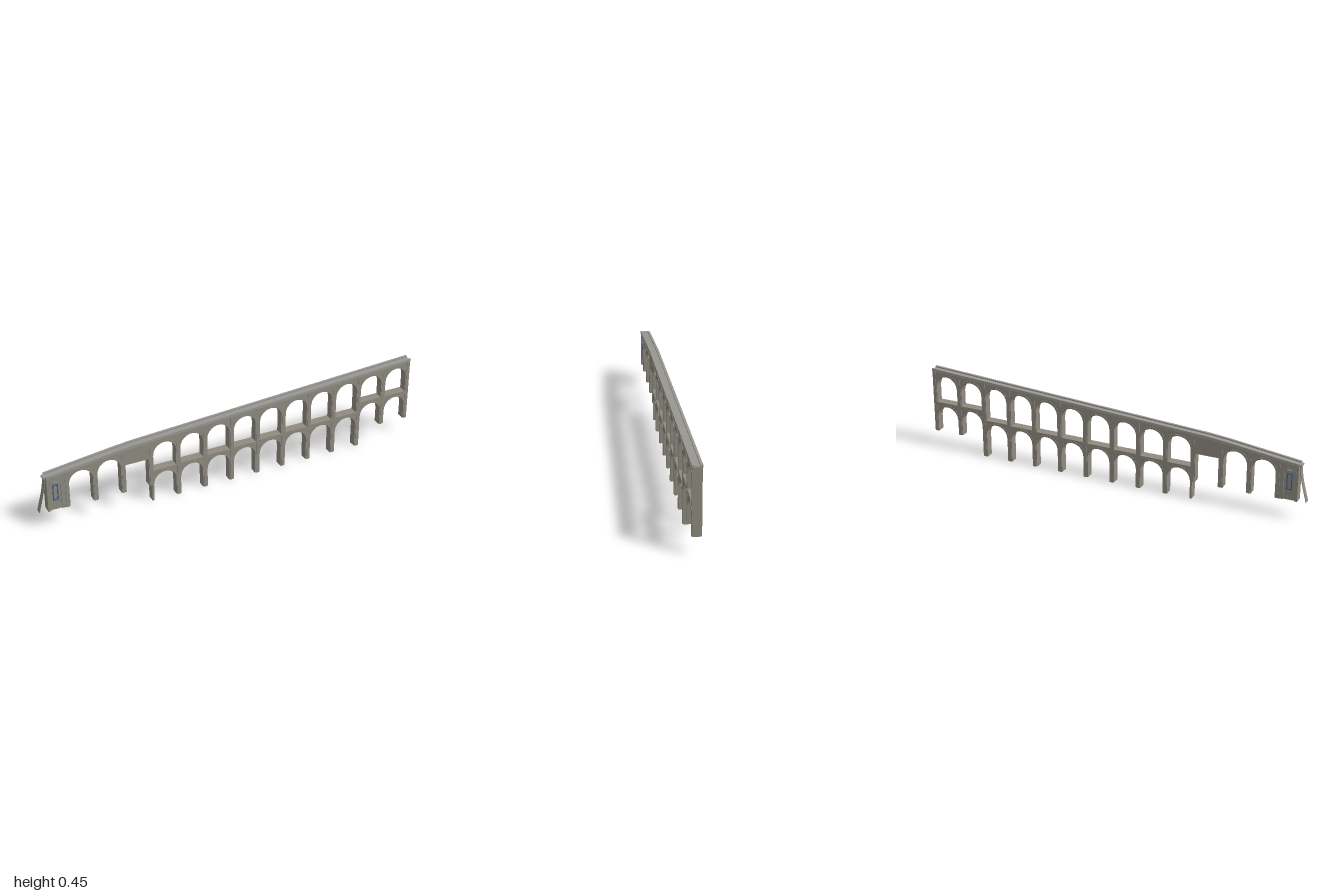
import * as THREE from 'three';

const stone = new THREE.MeshStandardMaterial({ color: 0x8f8b80, flatShading: true });
const channelStone = new THREE.MeshStandardMaterial({ color: 0x999893, flatShading: true });
const blue = new THREE.MeshStandardMaterial({ color: 0x3f6290, flatShading: true });
const spillMaterial = new THREE.MeshStandardMaterial({ color: 0x8f8b80, side: THREE.DoubleSide });

const PITCH = 0.1464, FIRST = -0.4448, HALF = 0.0125, R = PITCH / 2 - HALF;
const LEFT = -0.985, RIGHT = 1.029;
const pierX = i => FIRST + i * PITCH;
const bayX = i => pierX(i + 0.5);

// Sloping top line with a kink near the left
const line = [[LEFT, 0.3], [-0.62, 0.346], [-0.52, 0.356], [RIGHT, 0.449]];
function topY(x) {
  let k = 0;
  while (k < line.length - 2 && x > line[k + 1][0]) k++;
  const [[x0, y0], [x1, y1]] = [line[k], line[k + 1]];
  return y0 + (y1 - y0) * (x - x0) / (x1 - x0);
}

// Heights of the bays
const lowerCrown = i => i < 0 ? 0.32 + 0.0155 * (i + 1) : i < 8 ? 0.158 + 0.0045 * i : 0.24;
const upperCrown = i => 0.328 + 0.0092 * i;
const floorY = i => i < 8 ? 0.178 + 0.0043 * i : 0.262;
const pierBase = i => i >= 1 && i <= 8 ? 0 : 0.095;

export function createModel() {
  const model = new THREE.Group();
  model.name = 'aqueduct';
  const bridge = new THREE.Group();
  bridge.name = 'bridge';
  bridge.rotation.y = 0.2594;
  model.add(bridge);

  function add(name, geometry, material = stone) {
    const mesh = new THREE.Mesh(geometry, material);
    mesh.name = name;
    bridge.add(mesh);
    return mesh;
  }
  function slab(name, shape, z0, z1, material) {
    const g = new THREE.ExtrudeGeometry(shape, { depth: z1 - z0, bevelEnabled: false, curveSegments: 14 });
    return add(name, g.translate(0, 0, z0), material);
  }
  function box(name, x, y0, y1, w, d, z = 0, material = stone) {
    return add(name, new THREE.BoxGeometry(w, y1 - y0, d).translate(x, (y0 + y1) / 2, z), material);
  }
  // Band following the top line
  function band(name, lo, hi, z0, z1) {
    const pts = line.map(([x, y]) => new THREE.Vector2(x, y + lo));
    const upper = line.map(([x, y]) => new THREE.Vector2(x, y + hi)).reverse();
    slab(name, new THREE.Shape([...pts, ...upper]), z0, z1, channelStone);
  }
  function archHole(x, r, bottom, crown) {
    const p = new THREE.Path();
    p.moveTo(x - r, bottom);
    p.lineTo(x + r, bottom);
    p.lineTo(x + r, crown - r);
    p.absarc(x, crown - r, r, 0, Math.PI, false);
    p.closePath();
    return p;
  }
  // Raised ring around an arch
  function archRing(x, r, crown, t = 0.01) {
    const s = new THREE.Shape();
    s.absarc(x, crown - r, r + t, 0, Math.PI, false);
    s.absarc(x, crown - r, r, Math.PI, 0, true);
    slab('archRing', s, -0.0228, 0.0228);
  }

  // Wall with piers, open bays below and arched holes above
  const wall = new THREE.Shape();
  const nicheX = -0.941, nicheR = 0.028;
  wall.moveTo(LEFT, 0.1);
  wall.lineTo(nicheX - nicheR, 0.1);
  wall.lineTo(nicheX - nicheR, 0.265 - nicheR);
  wall.absarc(nicheX, 0.265 - nicheR, nicheR, Math.PI, 0, true);
  wall.lineTo(nicheX + nicheR, 0.1);
  for (let i = -3; i <= 10; i++) {
    const x = pierX(i);
    if (i > -3) wall.lineTo(x - HALF, pierBase(i));
    else wall.lineTo(x + HALF, 0.1);
    if (i === 0) {
      // This pier steps down to the ground
      wall.lineTo(x + 0.002, 0.095);
      wall.lineTo(x + 0.002, 0);
      wall.lineTo(x + HALF, 0);
    } else if (i > -3 && i < 10) wall.lineTo(x + HALF, pierBase(i));
    if (i === 10) wall.lineTo(RIGHT, pierBase(i));
    else if (i === -1) {
      wall.lineTo(x + HALF, 0.25);
      wall.lineTo(pierX(0) - HALF, 0.25);
    } else {
      const spring = lowerCrown(i) - R;
      wall.lineTo(x + HALF, spring);
      wall.absarc(bayX(i), spring, R, Math.PI, 0, true);
    }
  }
  for (const [x, y] of [...line].reverse()) wall.lineTo(x, y - 0.012);
  wall.closePath();
  for (let i = 0; i < 10; i++) wall.holes.push(archHole(bayX(i), R, floorY(i), upperCrown(i)));
  slab('wall', wall, -0.021, 0.021);

  // Arch rings and string courses
  for (let i = -3; i < 10; i++) {
    if (i !== -1) archRing(bayX(i), R, lowerCrown(i));
    if (i < 0) continue;
    archRing(bayX(i), R, upperCrown(i));
    box('stringCourse', bayX(i), floorY(i) - 0.007, floorY(i), PITCH - 0.016, 0.048);
  }

  // Pilasters on the piers
  for (let i = -3; i <= 10; i++) {
    const x = pierX(i);
    box('pilaster', x, i === -3 ? 0.1 : pierBase(i), topY(x) - 0.011, 0.016, 0.047);
  }

  // Water channel along the top
  band('channelFloor', -0.014, -0.007, -0.025, 0.025);
  band('channelFrontWall', -0.007, 0, 0.013, 0.025);
  band('channelBackWall', -0.007, 0, -0.025, -0.013);

  // Closed gate niche with a window on both faces
  archRing(nicheX, nicheR, 0.265, 0.008);
  box('nichePanel', nicheX, 0.1, 0.255, nicheR * 2, 0.03);
  box('cornerPilaster', LEFT + 0.004, 0.1, topY(LEFT) - 0.011, 0.008, 0.047);
  const frame = new THREE.Shape();
  const [w, y0, y1] = [0.014, 0.155, 0.243];
  frame.moveTo(nicheX - w, y0).lineTo(nicheX + w, y0).lineTo(nicheX + w, y1).lineTo(nicheX - w, y1);
  const pane = new THREE.Path();
  const e = 0.005;
  pane.moveTo(nicheX - w + e, y0 + e).lineTo(nicheX + w - e, y0 + e)
    .lineTo(nicheX + w - e, y1 - e).lineTo(nicheX - w + e, y1 - e);
  frame.holes.push(pane);
  slab('windowFrame', frame, -0.02, 0.02, blue);

  // Spout and falling water sheet at the left end
  box('spout', LEFT - 0.006, 0.286, 0.295, 0.014, 0.032, 0, channelStone);
  const fall = new THREE.CatmullRomCurve3([[-0.99, 0.294], [-0.998, 0.225], [-1.012, 0.165], [-1.029, 0.102]]
    .map(([x, y]) => new THREE.Vector3(x, y, 0))).getPoints(12);
  const outline = [...fall.map(p => new THREE.Vector2(p.x, p.y)),
    ...fall.map(p => new THREE.Vector2(p.x + 0.003, p.y)).reverse()];
  slab('waterSheet', new THREE.Shape(outline), -0.015, 0.015, spillMaterial);

  return model;
}
